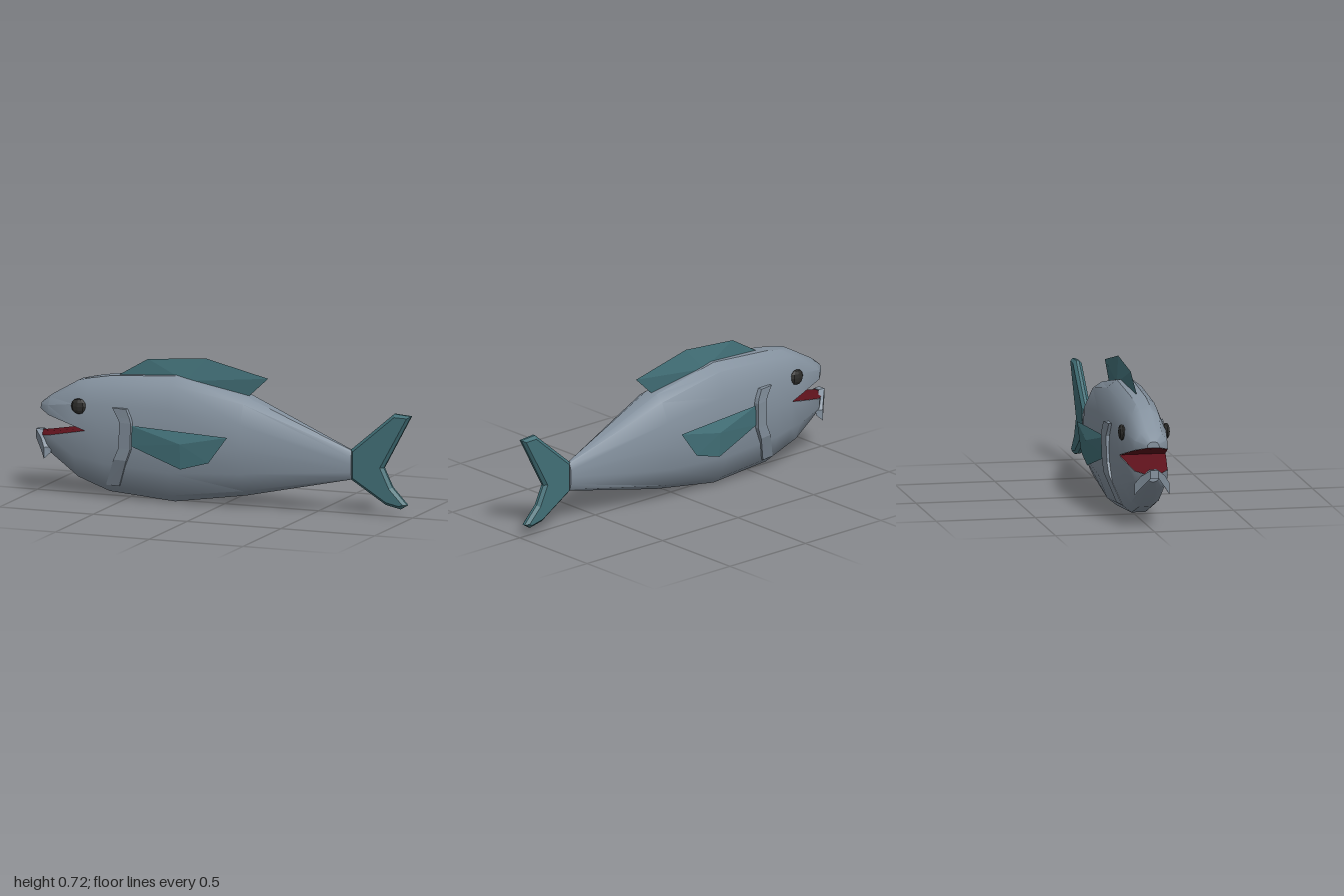
import * as THREE from 'three';
import { toCreasedNormals, mergeGeometries } from 'three/addons/utils/BufferGeometryUtils.js';

const material = (color, extra = {}) => new THREE.MeshStandardMaterial({ color, ...extra });

function addMesh(parent, name, geometry, mat) {
  const mesh = new THREE.Mesh(geometry, mat);
  mesh.name = name;
  parent.add(mesh);
  return mesh;
}

function indexed(points, index) {
  const g = new THREE.BufferGeometry();
  g.setAttribute('position', new THREE.Float32BufferAttribute(points.flat(), 3));
  g.setIndex(index);
  g.computeVertexNormals();
  return g;
}

// Skin over a row of cross-sections, optionally closed around and capped
function loft(rings, { closed = false, caps = false } = {}) {
  const n = rings[0].length, last = (rings.length - 1) * n, index = [];
  for (let i = 0; i < rings.length - 1; i++) {
    for (let j = 0; j < (closed ? n : n - 1); j++) {
      const a = i * n + j, c = i * n + (j + 1) % n;
      index.push(a, a + n, c, a + n, c + n, c);
    }
  }
  if (caps) {
    for (let j = 1; j < n - 1; j++) index.push(0, j, j + 1, last, last + j + 1, last + j);
  }
  return indexed(rings.flat(), index);
}

// Blade with a sharp outline (counter-clockwise) and a raised centre on each side
function blade(outline, [cx, cy], half, zAt = () => 0) {
  const n = outline.length;
  const points = outline.map(([x, y]) => [x, y, zAt(x)]);
  points.push([cx, cy, zAt(cx) + half], [cx, cy, zAt(cx) - half]);
  const index = [];
  for (let i = 0; i < n; i++) {
    const j = (i + 1) % n;
    index.push(i, j, n, j, i, n + 1);
  }
  return indexed(points, index);
}

// Body stations: x, belly, lower lip line, upper lip line, back, half width
const STATIONS = [
  [-0.97, 0.25, 0.285, 0.42, 0.45, 0.03],
  [-0.91, 0.195, 0.297, 0.4, 0.495, 0.085],
  [-0.77, 0.09, 0.326, 0.36, 0.575, 0.108],
  [-0.7, 0.065, 0.34, 0.34, 0.592, 0.118],
  [-0.6, 0.03, 0.335, 0.335, 0.61, 0.127],
  [-0.25, 0.003, 0.32, 0.32, 0.635, 0.137],
  [0.13, 0.06, 0.305, 0.305, 0.555, 0.13],
  [0.68, 0.175, 0.25, 0.25, 0.32, 0.022],
];
// Half arc: height fraction away from the lip line, width fraction
const ARC = [[0, 1], [0.5, 0.96], [0.88, 0.63], [1, 0.28]];

function arc(x, mid, end, w, side) {
  const half = ARC.map(([t, k]) => [x, mid + (end - mid) * t, side * w * k]);
  const mirrored = half.map(([px, y, z]) => [px, y, -z]).reverse();
  return [...half, ...mirrored];
}

export function createModel() {
  const fish = new THREE.Group();
  fish.name = 'fish';
  const skin = material(0x84919e);
  const plate = material(0x84919e, { flatShading: true });
  const finMat = material(0x427078, { flatShading: true });
  const mouthMat = material(0x5e121c, { side: THREE.DoubleSide });
  const eyeMat = material(0x2c2c2a, { flatShading: true });

  // Body, with the upper and lower halves parting at the mouth
  const upper = loft(STATIONS.map(([x, , , m, top, w]) => arc(x, m, top, w, 1)), { caps: true });
  const lower = loft(STATIONS.map(([x, bottom, m, , , w]) => arc(x, m, bottom, w, -1)), { caps: true });
  addMesh(fish, 'body', toCreasedNormals(mergeGeometries([upper, lower]), 0.6), skin);

  // Mouth lining
  const jaw = STATIONS.slice(0, 4);
  addMesh(fish, 'palate', loft(jaw.map(([x, , , m, , w]) =>
    [[x, m, w * 0.98], [x, m, -w * 0.98]])), mouthMat);
  addMesh(fish, 'mouthFloor', loft(jaw.map(([x, , m, , , w], i) => {
    const rise = 0.02 * (1 - i / 3);
    return [[x, m, w * 0.98], [x, m + rise, w * 0.5], [x, m + rise, -w * 0.5], [x, m, -w * 0.98]];
  })), mouthMat);

  // Lower lip wrapping the chin and drooping at its ends: x, z, bottom, top
  const lip = [
    [-0.93, 0.088, 0.178, 0.235],
    [-0.955, 0.062, 0.215, 0.275],
    [-1, 0.02, 0.272, 0.312],
    [-1, -0.02, 0.272, 0.312],
    [-0.955, -0.062, 0.215, 0.275],
    [-0.93, -0.088, 0.178, 0.235],
  ];
  addMesh(fish, 'lowerLip', loft(lip.map(([x, z, b, t]) => [
    [x, t, z], [x, b, z], [x + 0.03, b + 0.03, z * 0.8], [x + 0.035, t, z * 0.8],
  ]), { closed: true, caps: true }), plate);

  // Dorsal fin
  addMesh(fish, 'dorsalFin', blade(
    [[-0.57, 0.608], [0.13, 0.555], [0.23, 0.648], [-0.1, 0.726], [-0.41, 0.702]],
    [-0.2, 0.61], 0.027), finMat);

  // Forked tail fin with bevelled edges
  const tail = new THREE.Shape([
    [0.675, 0.175], [0.86, 0.06], [0.94, 0.043], [0.975, 0.065], [0.895, 0.15],
    [0.85, 0.245], [0.995, 0.514], [0.905, 0.521], [0.675, 0.325],
  ].map(([x, y]) => new THREE.Vector2(x, y)));
  const tailGeo = new THREE.ExtrudeGeometry(tail, {
    depth: 0.014, bevelThickness: 0.015, bevelSize: 0.015, bevelOffset: -0.015, bevelSegments: 1,
  });
  tailGeo.translate(0, 0, -0.007);
  addMesh(fish, 'tailFin', tailGeo, finMat);

  // Eye, gill cover and pectoral fin on each side
  const gill = [
    [0.07, -0.6, -0.525, 0.096],
    [0.21, -0.54, -0.468, 0.148],
    [0.27, -0.512, -0.445, 0.153],
    [0.4, -0.505, -0.44, 0.157],
    [0.425, -0.518, -0.447, 0.154],
    [0.47, -0.545, -0.468, 0.15],
  ];
  const finOutline = [
    [-0.45, 0.285], [-0.36, 0.255], [-0.17, 0.193], [-0.02, 0.235], [0.08, 0.37], [-0.45, 0.387],
  ];
  const finZ = (x) => 0.135 + 0.036 * Math.min(1, (x + 0.45) / 0.28);
  for (const s of [1, -1]) {
    const side = new THREE.Group();
    side.name = s > 0 ? 'leftSide' : 'rightSide';
    side.scale.z = s;
    fish.add(side);

    const eye = addMesh(side, 'eye', new THREE.SphereGeometry(0.04, 8, 6), eyeMat);
    eye.position.set(-0.735, 0.46, 0.112);
    eye.scale.z = 0.45;

    addMesh(side, 'gillCover', loft(gill.map(([y, x0, x1, z]) => [
      [x1, y, z - 0.05], [x1, y, z], [x0, y, z - 0.012], [x0, y, z - 0.05],
    ]), { closed: true, caps: true }), plate);

    addMesh(side, 'pectoralFin', blade(finOutline, [-0.17, 0.32], 0.007, finZ), finMat);
  }
  return fish;
}
